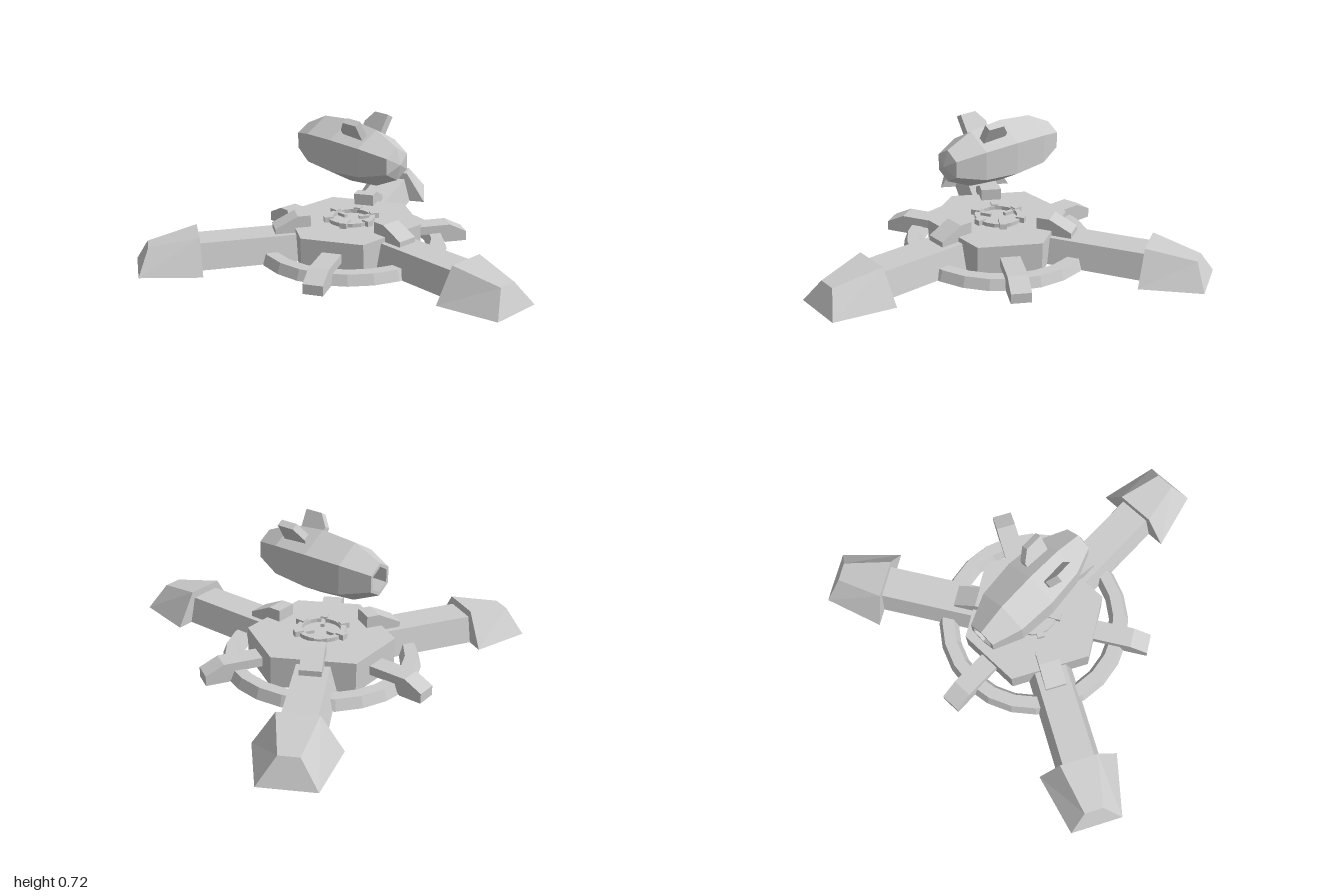
import * as THREE from 'three';

const material = new THREE.MeshStandardMaterial({
  color: 0xcccccc, flatShading: true, side: THREE.DoubleSide,
});

function add(parent, name, geometry) {
  const mesh = new THREE.Mesh(geometry, material);
  mesh.name = name;
  parent.add(mesh);
  return mesh;
}

// Cross-section of a tapered shell: bottom and top half-widths, z at bottom and top
const section = (wb, wt, zb, zt, h) =>
  [[-wb, 0, zb], [-wt, h, zt], [wt, h, zt], [wb, 0, zb]];

// Shell between two cross-sections, open underneath
function shell(near, far) {
  const quads = [near, [...far].reverse()];
  for (let i = 0; i < 3; i++) quads.push([near[i], far[i], far[i + 1], near[i + 1]]);
  const pos = quads.flatMap(([a, b, c, d]) => [a, b, c, a, c, d].flat());
  const g = new THREE.BufferGeometry();
  g.setAttribute('position', new THREE.Float32BufferAttribute(pos, 3));
  g.computeVertexNormals();
  return g;
}

// Side profile of [z, y] points, extruded to a width across x
function slab(profile, width) {
  const shape = new THREE.Shape(profile.map(([z, y]) => new THREE.Vector2(z, y)));
  const g = new THREE.ExtrudeGeometry(shape, { depth: width, bevelEnabled: false });
  return g.translate(0, 0, -width / 2).rotateY(-Math.PI / 2);
}

function lathe(points, sides, start = 0) {
  return new THREE.LatheGeometry(points.map(([r, y]) => new THREE.Vector2(r, y)), sides, start);
}

// Six-sided hub with alternating long and short walls
function hubGeometry() {
  const g = lathe([[0.36, 0], [0.36, 0.155], [0, 0.155]], 6);
  const p = g.attributes.position;
  for (let k = 0; k < p.count; k++) {
    const i = Math.floor(k / 3);
    const a = THREE.MathUtils.degToRad(30 + 60 * i + (i % 2 ? -3.7 : 3.7));
    const r = Math.hypot(p.getX(k), p.getZ(k));
    p.setXYZ(k, r * Math.sin(a), p.getY(k), r * Math.cos(a));
  }
  g.computeVertexNormals();
  return g;
}

export function createModel() {
  const model = new THREE.Group();
  model.name = 'podStation';

  const base = new THREE.Group();
  base.name = 'base';
  base.position.z = -0.215;
  model.add(base);

  add(base, 'hub', hubGeometry());
  add(base, 'groundRing', lathe([[0.49, 0], [0.47, 0.053], [0.41, 0.053], [0.39, 0]], 24));

  // Three legs with feet and shoulder blocks, and three braces between them
  const beam = shell(section(0.113, 0.08, 0.28, 0.28, 0.13), section(0.113, 0.08, 0.78, 0.78, 0.13));
  const foot = shell(section(0.2, 0.095, 0.775, 0.775, 0.166), section(0.13, 0.047, 1.077, 1.02, 0.12));
  const block = slab([[0.22, 0.13], [0.4, 0.13], [0.4, 0.157], [0.285, 0.214], [0.22, 0.214]], 0.105);
  const brace = slab([[0.3, 0.05], [0.445, 0.05], [0.49, 0], [0.605, 0], [0.605, 0.05],
    [0.515, 0.095], [0.3, 0.095]], 0.1);
  for (let i = 0; i < 3; i++) {
    const leg = new THREE.Group();
    leg.name = 'leg';
    leg.rotation.y = i * Math.PI * 2 / 3;
    add(leg, 'legBeam', beam);
    add(leg, 'foot', foot);
    add(leg, 'shoulderBlock', block);
    base.add(leg);
    add(base, 'brace', brace).rotation.y = (i * 2 + 1) * Math.PI / 3;
  }

  // Small emitter ring with clamps and spokes on top of the hub
  const emitter = new THREE.Group();
  emitter.name = 'emitter';
  emitter.position.y = 0.155;
  base.add(emitter);
  add(emitter, 'emitterRing', lathe([[0.122, 0], [0.122, 0.02], [0.095, 0.02], [0.095, 0]], 18));
  const clamp = new THREE.BoxGeometry(0.035, 0.028, 0.045).translate(0, 0.014, 0.12);
  const spoke = new THREE.BoxGeometry(0.02, 0.016, 0.06).translate(0, 0.008, 0.07);
  for (let i = 0; i < 6; i++) {
    add(emitter, 'clamp', clamp).rotation.y = i * Math.PI / 3;
    if (i % 2) add(emitter, 'spoke', spoke).rotation.y = i * Math.PI / 3;
  }

  // Floating hexagonal pod with a hollow tail and a pointed nose
  const pod = new THREE.Group();
  pod.name = 'pod';
  pod.position.y = 0.523;
  model.add(pod);
  const hull = lathe([[0, -0.47], [0.055, -0.47], [0.062, -0.54], [0.08, -0.54], [0.144, -0.4],
    [0.16, -0.215], [0.142, -0.03], [0.08, 0.11], [0, 0.135]], 6).rotateX(Math.PI / 2);
  add(pod, 'podHull', hull);
  const fin = slab([[-0.18, 0.1], [-0.05, 0.1], [-0.045, 0.218], [-0.135, 0.218], [-0.18, 0.16]], 0.036);
  for (const s of [-1, 1]) add(pod, 'podFin', fin).rotation.z = s * Math.PI / 6;

  return model;
}
